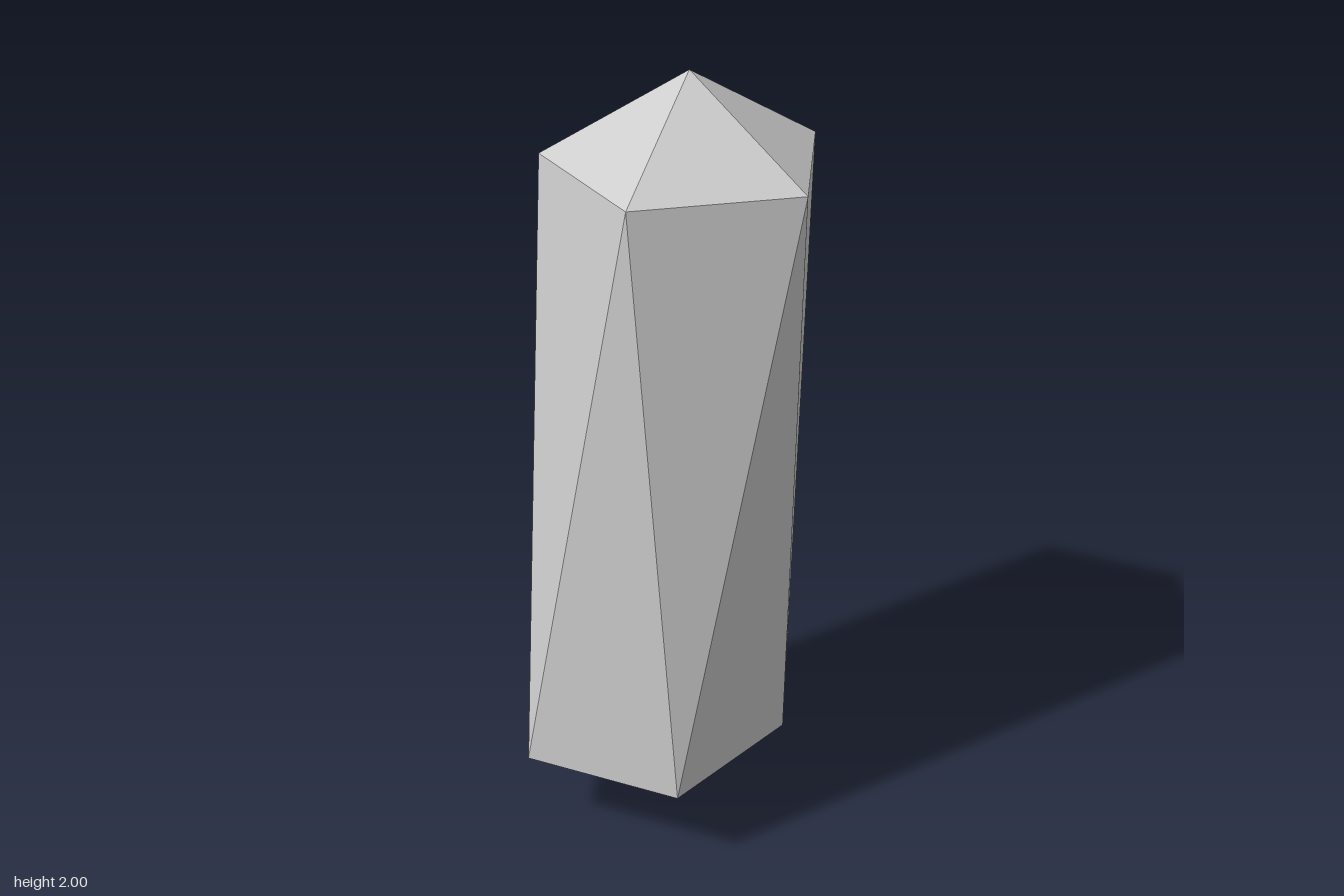
import * as THREE from 'three';

const SIDES = 5;
const RADIUS = 0.361;
const LEAN = new THREE.Vector2(0.067, -0.013); // x, z offset of the upper half

// Regular ring of points around a leaning centre
function ring(y, side, turn) {
  return Array.from({ length: SIDES }, (_, i) => {
    const a = ((i + turn) / SIDES) * Math.PI * 2;
    return [side * LEAN.x + RADIUS * Math.cos(a), y, side * LEAN.y + RADIUS * Math.sin(a)];
  });
}

export function createModel() {
  const group = new THREE.Group();
  group.name = 'crystal';

  // Two pentagons, the lower turned by half a step, with a point at each end
  const tip = [LEAN.x, 2, LEAN.y];
  const base = [-LEAN.x, 0, -LEAN.y];
  const top = ring(1.78, 1, 0);
  const bottom = ring(0.222, -1, 0.5);

  const corners = [];
  for (let i = 0; i < SIDES; i++) {
    const j = (i + 1) % SIDES;
    corners.push(
      tip, top[j], top[i],          // upper cap
      top[j], bottom[i], top[i],    // sides
      top[j], bottom[j], bottom[i],
      base, bottom[i], bottom[j]    // lower cap
    );
  }

  const geometry = new THREE.BufferGeometry();
  geometry.setAttribute('position', new THREE.Float32BufferAttribute(corners.flat(), 3));
  geometry.computeVertexNormals();

  const shard = new THREE.Mesh(
    geometry,
    new THREE.MeshStandardMaterial({ color: 0xcccccc, flatShading: true })
  );
  shard.name = 'crystalShard';
  group.add(shard);
  return group;
}
